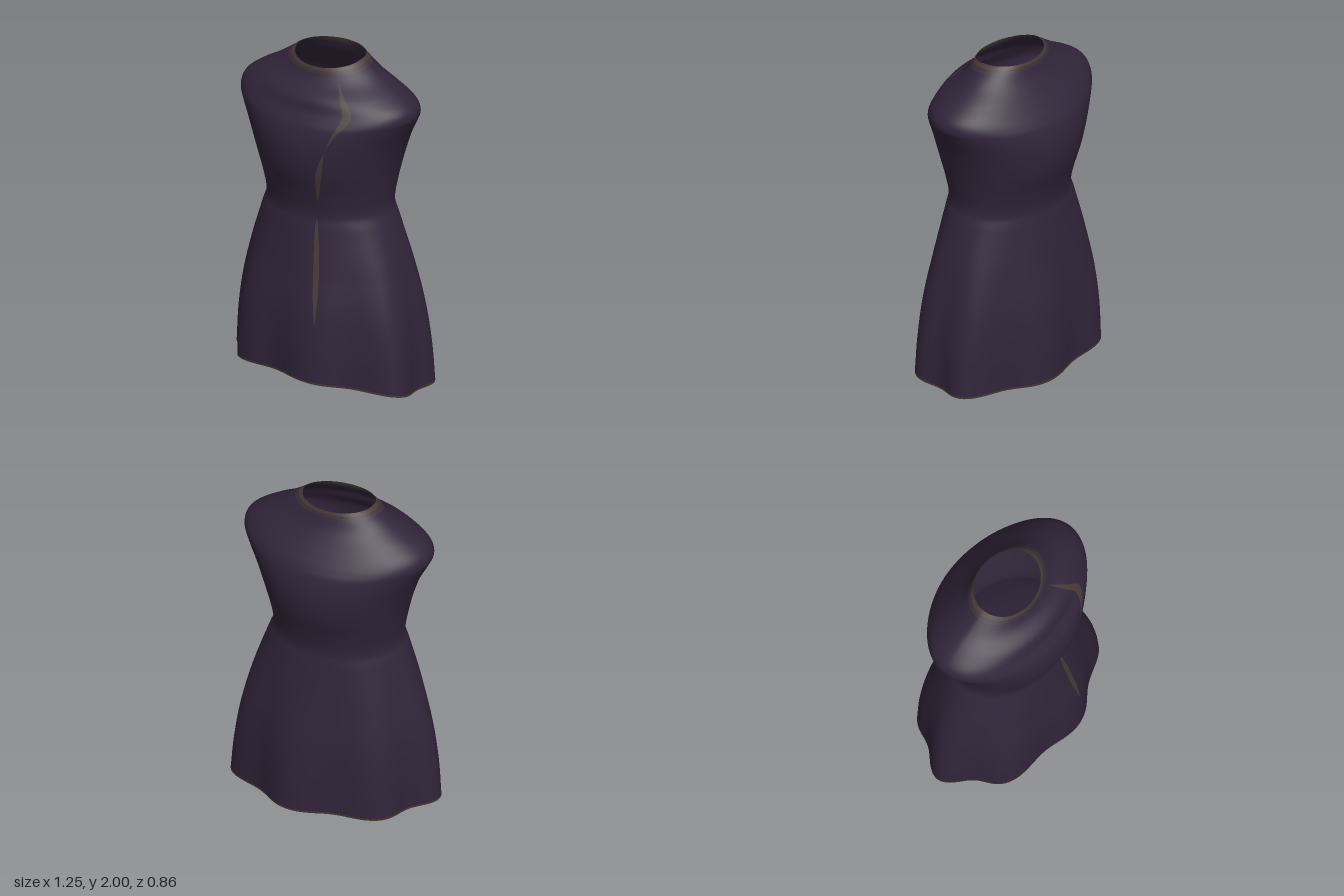
import * as THREE from 'three';

// Half width, height, half depth of the garment from hem to neckline
const ROWS = [
  [0.60, 0, 0.415], [0.59, 0.25, 0.415], [0.56, 0.5, 0.4], [0.505, 0.75, 0.363],
  [0.425, 1.0, 0.325], [0.392, 1.1, 0.313], [0.405, 1.22, 0.338], [0.44, 1.38, 0.388],
  [0.49, 1.53, 0.405], [0.55, 1.65, 0.385], [0.575, 1.71, 0.355], [0.555, 1.77, 0.31],
  [0.47, 1.835, 0.26], [0.36, 1.9, 0.215], [0.28, 1.955, 0.19], [0.217, 2, 0.175],
];
const LAST = ROWS.length - 1;
const profile = new THREE.CatmullRomCurve3(ROWS.map((r) => new THREE.Vector3(...r)), false, 'catmullrom', 0.5);
const CENTRE_X = 0.015;

// Point on the cloth: phi runs round the body, row runs from hem (0) to neck (LAST)
function cloth(phi, row) {
  const p = profile.getPoint(THREE.MathUtils.clamp(row / LAST, 0, 1));
  const c = Math.cos(phi), s = Math.sin(phi), front = Math.max(0, s);
  // Seven soft folds that fade out at the waist
  const flare = THREE.MathUtils.clamp(1 - p.y / 1.05, 0, 1);
  const fold = 1 + 0.055 * flare * Math.cos(7 * (phi - Math.PI));
  const chest = 0.045 * front * Math.exp(-(((p.y - 1.84) / 0.07) ** 2));
  const x = CENTRE_X + c * (p.x + 0.03 * flare * Math.max(0, c)) * fold;
  const z = s * (p.z + chest) * fold;
  // Hem rises at the front, neckline dips at the front
  const hem = (0.025 - 0.02 * c + 0.075 * front ** 1.4) * Math.max(0, 1 - p.y / 0.7);
  const dip = 0.04 * front * THREE.MathUtils.smoothstep(p.y, 1.6, 2);
  return new THREE.Vector3(x, p.y + hem - dip, z);
}

function clothNormal(phi, row) {
  const e = 0.01;
  const up = cloth(phi, Math.min(LAST, row + e)).sub(cloth(phi, Math.max(0, row - e)));
  const around = cloth(phi + e, row).sub(cloth(phi - e, row));
  return up.cross(around).normalize();
}

// Grid of the cloth between two rows; range(row) gives the first and last angle
function patch(name, color, row0, row1, nRow, nPhi, range, lift = 0) {
  const pos = [], nor = [], idx = [];
  for (let j = 0; j <= nRow; j++) {
    const row = row0 + (row1 - row0) * j / nRow;
    const [from, to] = range(row);
    for (let i = 0; i <= nPhi; i++) {
      const phi = from + (to - from) * i / nPhi;
      const n = clothNormal(phi, row);
      pos.push(...cloth(phi, row).addScaledVector(n, lift).toArray());
      nor.push(...n.toArray());
      if (i < nPhi && j < nRow) {
        const a = j * (nPhi + 1) + i, b = a + nPhi + 1;
        idx.push(a, b, a + 1, b, b + 1, a + 1);
      }
    }
  }
  const g = new THREE.BufferGeometry();
  g.setAttribute('position', new THREE.Float32BufferAttribute(pos, 3));
  g.setAttribute('normal', new THREE.Float32BufferAttribute(nor, 3));
  g.setIndex(idx);
  const mesh = new THREE.Mesh(g, new THREE.MeshStandardMaterial({ color, side: THREE.DoubleSide }));
  mesh.name = name;
  return mesh;
}

export function createModel() {
  const group = new THREE.Group();
  group.name = 'sleevelessDress';
  const full = () => [0, Math.PI * 2];

  // Open shell with narrow trims at hem and neck
  group.add(patch('hemTrim', 0x43352f, 0, 0.05, 1, 112, full));
  group.add(patch('dressBody', 0x32253a, 0.05, 14.2, 90, 112, full));
  group.add(patch('neckTrimLower', 0x3b2e37, 14.2, 14.6, 2, 112, full));
  group.add(patch('neckTrim', 0x473a35, 14.6, LAST, 3, 112, full));

  // Faint tapered streaks down the left of the front
  const seamAngle = (row) => THREE.MathUtils.degToRad(57 + 17.5 * THREE.MathUtils.smoothstep(12 - row, 0, 8));
  const streaks = [[8.2, 13.6, 0.05], [5.8, 8, 0.04], [1.6, 4.8, 0.035]];
  for (const [r0, r1, width] of streaks) {
    group.add(patch('frontStreak', 0x473a35, r0, r1, 24, 4, (row) => {
      const w = width * Math.sin(Math.PI * (row - r0) / (r1 - r0)) + 0.001;
      return [seamAngle(row) - w, seamAngle(row) + w];
    }, 0.002));
  }
  return group;
}
